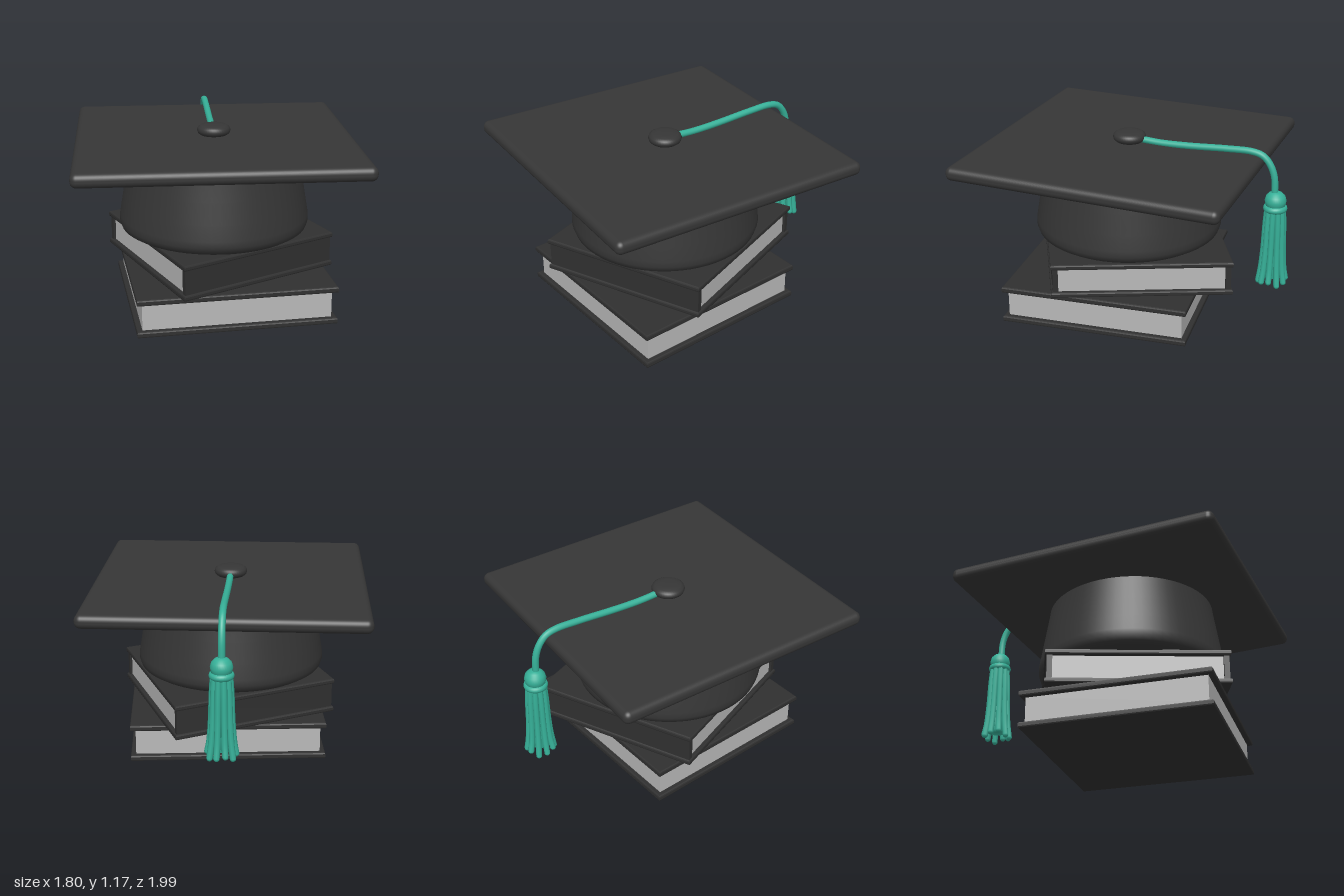
import * as THREE from 'three';
import { RoundedBoxGeometry } from 'three/addons/geometries/RoundedBoxGeometry.js';

const mat = (name, color) => Object.assign(new THREE.MeshStandardMaterial({ color }), { name });

export function createModel() {
  const capBlack = mat('cap black', 0x363636);
  const coverBlack = mat('cover black', 0x303030);
  const paper = mat('paper grey', 0xb8b8b8);
  const teal = mat('tassel teal', 0x36b098);

  const root = new THREE.Group();
  root.name = 'graduationCapOnBooks';

  const add = (parent, name, geometry, material, x = 0, y = 0, z = 0) => {
    const m = new THREE.Mesh(geometry, material);
    m.name = name;
    m.position.set(x, y, z);
    parent.add(m);
    return m;
  };
  const lathe = (pts, seg) => new THREE.LatheGeometry(pts.map(p => new THREE.Vector2(...p)), seg);

  // Part of a four-cornered plan: u runs along the front edge, v from front to back
  const part = ([A, B, C, D], u0, u1, v0, v1) => {
    const at = (u, v) => [0, 1].map(i =>
      (1 - v) * ((1 - u) * A[i] + u * B[i]) + v * ((1 - u) * D[i] + u * C[i]));
    return [at(u0, v0), at(u1, v0), at(u1, v1), at(u0, v1)];
  };
  // Slab with the given plan corners (x, z) between two heights
  const slab = (corners, y0, y1, bevel = 0) => {
    const shape = new THREE.Shape(corners.map(([x, z]) => new THREE.Vector2(x, -z)));
    const g = new THREE.ExtrudeGeometry(shape, {
      depth: y1 - y0 - 2 * bevel, bevelEnabled: bevel > 0,
      bevelSize: bevel, bevelThickness: bevel, bevelOffset: -bevel, bevelSegments: 2,
    });
    g.rotateX(-Math.PI / 2);
    g.translate(0, y0 + bevel, 0);
    return g;
  };

  // Books
  const book = (name, plan, y0, y1, t, pageInset, hasSpines) => {
    const g = new THREE.Group();
    g.name = name;
    root.add(g);
    add(g, 'lowerCover', slab(plan, y0, y0 + t, 0.01), coverBlack);
    add(g, 'upperCover', slab(plan, y1 - t, y1, 0.01), coverBlack);
    const i = pageInset;
    add(g, 'pages', slab(part(plan, i, 1 - i, i, 1 - i), y0 + t - 0.004, y1 - t + 0.004), paper);
    if (hasSpines) {
      for (const [n, v0, v1] of [['frontSpine', 0.01, 0.04], ['backSpine', 0.96, 0.99]]) {
        add(g, n, slab(part(plan, 0.01, 0.99, v0, v1), y0 + t / 2, y1 - t / 2), coverBlack);
      }
    }
  };
  book('bottomBook', [[-0.53, 0.85], [0.74, 0.73], [0.62, -0.5], [-0.65, -0.38]],
    0, 0.253, 0.04, 0.027, false);
  book('topBook', [[-0.24, 0.89], [0.76, 0.36], [0.3, -0.71], [-0.7, -0.18]],
    0.253, 0.485, 0.036, 0.025, true);

  // Cap
  const cap = new THREE.Group();
  cap.name = 'cap';
  root.add(cap);
  add(cap, 'crown', lathe([
    [0, 0.475], [0.5, 0.475], [0.58, 0.485], [0.612, 0.505], [0.624, 0.54], [0.622, 0.58],
    [0.605, 0.68], [0.582, 0.82], [0.562, 0.94], [0.55, 1.03],
  ], 64), capBlack, 0, 0, 0.125);

  const board = new THREE.Group();
  board.name = 'board';
  board.position.set(0, 1.055, 0.11);
  board.rotation.x = -0.013;
  cap.add(board);
  add(board, 'boardPlate', new RoundedBoxGeometry(1.8, 0.09, 1.78, 5, 0.04), capBlack);
  const under = new THREE.CylinderGeometry(0.86 * Math.SQRT2, 0.6 * Math.SQRT2, 0.025, 4);
  under.rotateY(Math.PI / 4);
  add(board, 'boardUnderside', under, capBlack, 0, -0.056, 0);

  add(cap, 'button', lathe([
    [0, 1.095], [0.085, 1.098], [0.103, 1.112], [0.109, 1.13], [0.103, 1.148],
    [0.085, 1.16], [0.05, 1.165], [0, 1.166],
  ], 40), capBlack, 0, 0, 0.12);

  // Cord and tassel
  const tassel = new THREE.Group();
  tassel.name = 'tassel';
  root.add(tassel);
  const cord = new THREE.CatmullRomCurve3([
    [1.12, 0.04], [1.112, -0.1], [1.117, -0.3], [1.132, -0.55], [1.135, -0.72], [1.115, -0.79],
    [1.06, -0.84], [0.98, -0.87], [0.86, -0.878],
  ].map(([y, z]) => new THREE.Vector3(0, y, z)));
  add(tassel, 'cord', new THREE.TubeGeometry(cord, 80, 0.022, 12), teal);

  const tz = -0.885;
  add(tassel, 'knot', lathe([
    [0, 0.77], [0.05, 0.775], [0.064, 0.795], [0.07, 0.825], [0.062, 0.855],
    [0.042, 0.876], [0.02, 0.883], [0, 0.884],
  ], 32), teal, 0, 0, tz);
  const collar = new THREE.TorusGeometry(0.054, 0.024, 10, 32);
  collar.rotateX(Math.PI / 2);
  add(tassel, 'collar', collar, teal, 0, 0.772, tz);
  add(tassel, 'core', lathe([[0, 0.29], [0.062, 0.29], [0.055, 0.5], [0.05, 0.77]], 20), teal, 0, 0, tz);

  // Strands hang in a ring and flare towards the tips
  const count = 10;
  for (let i = 0; i < count; i++) {
    const a = ((i + 0.5) / count) * Math.PI * 2;
    const end = 0.25 + 0.012 * (i % 3);
    const path = new THREE.CatmullRomCurve3(
      [[0.05, 0.775], [0.058, 0.65], [0.064, 0.48], [0.075, 0.34], [0.088, end]].map(([r, y]) =>
        new THREE.Vector3(Math.sin(a) * r, y, Math.cos(a) * r)));
    add(tassel, 'strand', new THREE.TubeGeometry(path, 16, 0.02, 8), teal, 0, 0, tz);
    const tip = new THREE.SphereGeometry(0.02, 8, 6);
    add(tassel, 'strandTip', tip, teal, Math.sin(a) * 0.088, end, tz + Math.cos(a) * 0.088);
  }

  return root;
}
